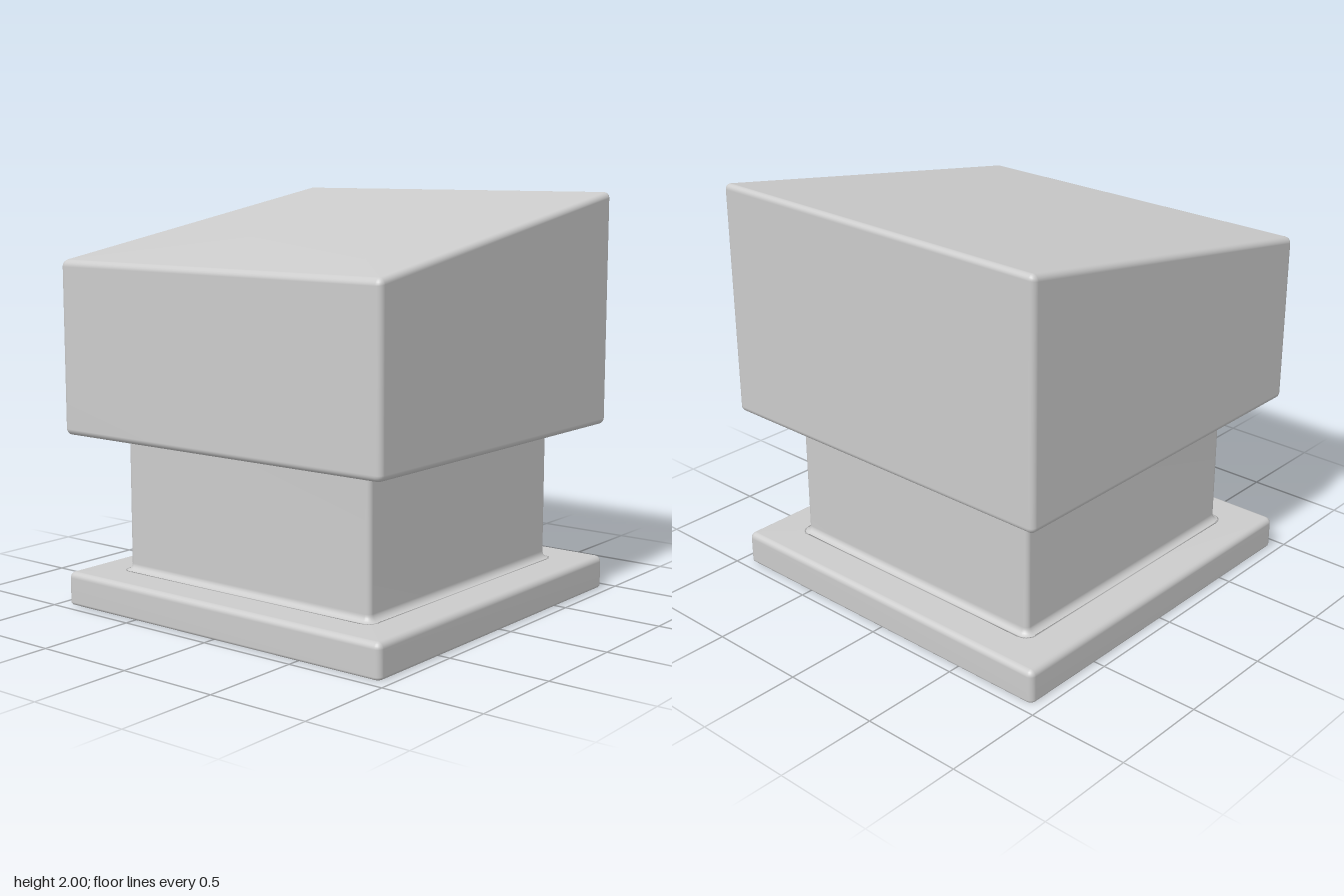
import * as THREE from 'three';

const SLOPE = 0.168; // fall of the cap's top toward the front
const STEPS = 6;     // segments per rounded edge

// Quarter-round edge: list of [half width, y, sloped?] around centre (cx, cy)
function arc(cx, cy, r, from, to, sloped = false) {
  return Array.from({ length: STEPS + 1 }, (_, i) => {
    const a = THREE.MathUtils.degToRad(from + (to - from) * i / STEPS);
    return [cx + r * Math.cos(a), cy + r * Math.sin(a), sloped];
  });
}

// Loft rounded squares up a profile; corner centres stay at +-core
function loftSquare(name, profile, core, material) {
  const pos = [], index = [];
  for (const [half, y, sloped] of profile) {
    const r = Math.max(half - core, 0.001);
    for (let q = 0; q < 4; q++) {
      const sx = q === 0 || q === 3 ? 1 : -1, sz = q < 2 ? -1 : 1;
      for (let k = 0; k <= STEPS; k++) {
        const a = (q + k / STEPS) * Math.PI / 2;
        const x = sx * core + r * Math.cos(a), z = sz * core - r * Math.sin(a);
        pos.push(x, sloped ? y - SLOPE * z : y, z);
      }
    }
  }
  const n = 4 * (STEPS + 1), last = profile.length - 1;
  const bottom = pos.length / 3, top = bottom + 1;
  pos.push(0, profile[0][1], 0, 0, profile[last][1], 0);
  for (let j = 0; j < n; j++) {
    const k = (j + 1) % n;
    for (let i = 0; i < last; i++) {
      const a = i * n + j, b = i * n + k;
      index.push(a, b, a + n, b, b + n, a + n);
    }
    index.push(bottom, k, j, top, last * n + j, last * n + k);
  }
  const geo = new THREE.BufferGeometry();
  geo.setAttribute('position', new THREE.Float32BufferAttribute(pos, 3));
  geo.setIndex(index);
  geo.computeVertexNormals();
  const mesh = new THREE.Mesh(geo, material);
  mesh.name = name;
  return mesh;
}

export function createModel() {
  const group = new THREE.Group();
  group.name = 'slopedPedestal';
  const material = new THREE.MeshStandardMaterial({ color: 0xcccccc });
  const R = 0.03, W = 0.95, N = 0.735, F = 0.035;
  const baseTop = 0.165, capBottom = 0.845;

  // Flat foot with a tight lower edge and rounded upper edge
  group.add(loftSquare('base', [
    ...arc(W - 0.015, 0.015, 0.015, -90, 0),
    ...arc(W - R, baseTop - R, R, 0, 90),
  ], W - R, material));

  // Narrow neck, flaring with fillets into the base and the cap
  group.add(loftSquare('neck', [
    ...arc(N + F, baseTop + F, F, 270, 180),
    ...arc(N + F, capBottom - F, F, 180, 90),
  ], N - 0.025, material));

  // Wide cap with a top sloping down to the front
  group.add(loftSquare('cap', [
    ...arc(W - R, capBottom + R, R, -90, 0),
    ...arc(W - R, 1.845 - R, R, 0, 90, true),
  ], W - R, material));

  return group;
}
